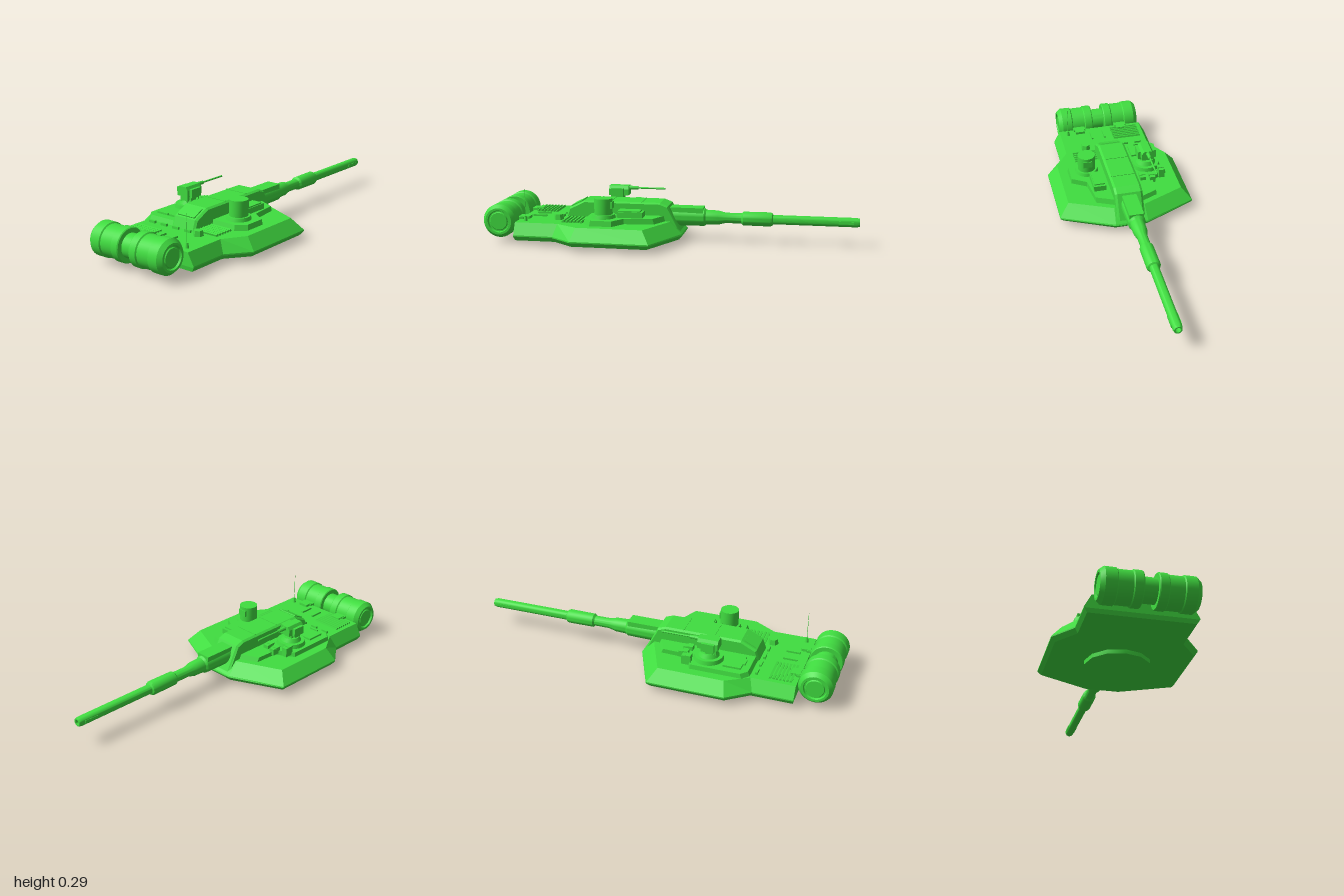
import * as THREE from 'three';
import { toCreasedNormals } from 'three/addons/utils/BufferGeometryUtils.js';

const paint = new THREE.MeshStandardMaterial({ color: 0x40dd40 });

export function createModel() {
  const root = new THREE.Group();
  root.name = 'turret';

  const add = (name, geo, x = 0, y = 0, z = 0, parent = root) => {
    const m = new THREE.Mesh(geo, paint);
    m.name = name;
    m.position.set(x, y, z);
    parent.add(m);
    return m;
  };
  const box = (name, w, h, d, x, y, z, parent) => add(name, new THREE.BoxGeometry(w, h, d), x, y, z, parent);
  const cyl = (name, r0, r1, h, x, y, z, n = 24, parent) =>
    add(name, toCreasedNormals(new THREE.CylinderGeometry(r1, r0, h, n), 0.6), x, y, z, parent);
  const lathe = (pts, n = 32) =>
    toCreasedNormals(new THREE.LatheGeometry(pts.map(p => new THREE.Vector2(p[0], p[1])), n), 0.5);

  // Joins horizontal outlines [x, z] at rising heights into a closed faceted solid
  const loft = (rings) => {
    const area = THREE.ShapeUtils.area(rings[0].pts.map(p => new THREE.Vector2(...p)));
    const loops = rings.map(r => (area < 0 ? [...r.pts].reverse() : r.pts).map(p => [p[0], r.y, p[1]]));
    const pos = [];
    const tri = (...c) => c.forEach(v => pos.push(...v));
    const n = loops[0].length;
    for (let k = 0; k + 1 < loops.length; k++) {
      for (let i = 0; i < n; i++) {
        const j = (i + 1) % n, lo = loops[k], up = loops[k + 1];
        tri(lo[i], up[j], lo[j]);
        tri(lo[i], up[i], up[j]);
      }
    }
    const cap = (loop, top) => THREE.ShapeUtils
      .triangulateShape(loop.map(v => new THREE.Vector2(v[0], v[2])), [])
      .forEach(([a, b, c]) => top ? tri(loop[a], loop[c], loop[b]) : tri(loop[a], loop[b], loop[c]));
    cap(loops[0], false);
    cap(loops[loops.length - 1], true);
    const g = new THREE.BufferGeometry();
    g.setAttribute('position', new THREE.Float32BufferAttribute(pos, 3));
    g.computeVertexNormals();
    return g;
  };
  const mirrored = half => [...half, ...half.map(([x, z]) => [-x, z]).reverse()];

  // Armoured body: undercut, widest belt, sloping flanks
  add('body', loft([
    { y: 0.022, pts: mirrored([[0.09, -0.05], [0.355, 0.075], [0.355, 0.475], [0.265, 0.59], [0.265, 0.81]]) },
    { y: 0.045, pts: mirrored([[0.09, -0.068], [0.374, 0.06], [0.374, 0.48], [0.28, 0.60], [0.28, 0.815]]) },
    { y: 0.052, pts: mirrored([[0.09, -0.064], [0.374, 0.062], [0.374, 0.48], [0.28, 0.60], [0.28, 0.815]]) },
    { y: 0.116, pts: mirrored([[0.085, 0.0], [0.32, 0.105], [0.32, 0.46], [0.245, 0.58], [0.245, 0.815]]) },
  ]));
  cyl('turretRing', 0.173, 0.173, 0.035, 0, 0.0175, 0.30, 12);

  // Raised roof plates either side of the spine
  const plate = (name, pts, y0, y1, s = 0.95) => {
    const cx = pts.reduce((a, p) => a + p[0], 0) / pts.length;
    const cz = pts.reduce((a, p) => a + p[1], 0) / pts.length;
    const inner = pts.map(([x, z]) => [cx + (x - cx) * s, cz + (z - cz) * s]);
    add(name, loft([{ y: y0, pts }, { y: y1, pts: inner }]));
  };
  plate('rightRoofPlate', [[-0.06, 0.02], [-0.17, 0.07], [-0.175, 0.2], [-0.272, 0.26], [-0.272, 0.54], [-0.235, 0.575], [-0.06, 0.575]], 0.112, 0.14);
  plate('leftRoofPlate', [[0.06, 0.02], [0.17, 0.07], [0.19, 0.23], [0.272, 0.28], [0.272, 0.40], [0.22, 0.445], [0.06, 0.445]], 0.112, 0.145);

  // Central spine with sloping nose and stepped tail
  const side = new THREE.Shape([[0.575, 0.11], [0.555, 0.165], [0.475, 0.205], [0.06, 0.205], [0.02, 0.19], [-0.055, 0.045], [0.1, 0.045]]
    .map(p => new THREE.Vector2(-p[0], p[1])));
  const spine = new THREE.ExtrudeGeometry(side, {
    depth: 0.13, bevelSize: 0.008, bevelThickness: 0.012, bevelSegments: 1,
  });
  spine.translate(0, 0, -0.065).rotateY(Math.PI / 2);
  add('spine', spine);
  box('spineTailPanel', 0.11, 0.006, 0.07, 0, 0.193, 0.523).rotation.x = 0.46;
  for (const z of [0.16, 0.33]) box('spineSeam', 0.134, 0.003, 0.006, 0, 0.214, z);

  // Gun with mantlet, sleeves and hollow muzzle, pointing to -z
  const gun = lathe([
    [0, -0.1], [0.055, -0.1], [0.05, 0.02], [0.048, 0.175], [0.04, 0.185], [0.038, 0.25], [0.028, 0.29],
    [0.028, 0.375], [0.037, 0.385], [0.038, 0.53], [0.034, 0.54], [0.025, 0.545], [0.025, 0.985],
    [0.021, 1.0], [0.014, 1.0], [0.014, 0.9], [0, 0.9],
  ]);
  gun.rotateX(-Math.PI / 2);
  add('gunBarrel', gun, 0, 0.131, 0);
  box('mantletCover', 0.08, 0.035, 0.2, 0, 0.168, -0.07);
  for (const s of [-1, 1]) box('muzzleSlot', 0.004, 0.014, 0.08, s * 0.0245, 0.131, -0.93);

  // Twin fuel drums on one axle across the rear
  const half = [[0.063, 0.035], [0.086, 0.035], [0.09, 0.04], [0.09, 0.08], [0.084, 0.085], [0.084, 0.157], [0.09, 0.162],
    [0.09, 0.218], [0.072, 0.24], [0.06, 0.24], [0.056, 0.23], [0.05, 0.23], [0.046, 0.236], [0, 0.236]];
  const drum = lathe([...half.map(([r, x]) => [r, -x]).reverse(), ...half], 36);
  drum.rotateZ(Math.PI / 2);
  add('fuelDrums', drum, 0, 0.115, 0.91);
  for (const s of [-1, 1]) {
    box('drumBracket', 0.07, 0.045, 0.06, s * 0.125, 0.105, 0.825);
    box('drumBracketFoot', 0.055, 0.02, 0.05, s * 0.125, 0.12, 0.79);
  }

  // Commander's sight on the left
  cyl('sightBase', 0.066, 0.06, 0.022, 0.17, 0.153, 0.345);
  cyl('sightDrum', 0.049, 0.049, 0.10, 0.17, 0.2, 0.345);
  box('sightWindow', 0.05, 0.035, 0.01, 0.17, 0.215, 0.298);
  box('gunnerSight', 0.07, 0.04, 0.14, 0.133, 0.155, 0.205);
  box('gunnerSightLid', 0.06, 0.008, 0.12, 0.133, 0.178, 0.21);

  // Hatch ring and remote machine gun on the right
  const mount = new THREE.Group();
  mount.name = 'machineGunMount';
  mount.position.set(-0.172, 0, 0.335);
  root.add(mount);
  cyl('hatchRing', 0.08, 0.075, 0.025, 0, 0.15, 0, 28, mount);
  cyl('hatchLid', 0.056, 0.045, 0.022, 0, 0.173, 0, 24, mount);
  box('pedestal', 0.05, 0.04, 0.07, 0, 0.195, 0.01, mount);
  const receiver = new THREE.ExtrudeGeometry(new THREE.Shape([[-0.034, 0], [0.034, 0], [0.034, 0.035], [0.022, 0.053], [-0.022, 0.053], [-0.034, 0.035]]
    .map(p => new THREE.Vector2(...p))), { depth: 0.11, bevelEnabled: false });
  add('receiver', receiver, 0, 0.208, -0.055, mount).rotation.x = 0;
  for (const s of [-1, 1]) {
    box('ammoBox', 0.016, 0.046, 0.07, s * 0.044, 0.226, 0.005, mount);
    box('mountArm', 0.012, 0.05, 0.04, s * 0.03, 0.19, 0.01, mount);
  }
  const tube = cyl('machineGunBarrel', 0.005, 0.005, 0.22, 0, 0.248, -0.15, 10, mount);
  tube.rotation.x = Math.PI / 2;
  const jacket = cyl('barrelJacket', 0.012, 0.009, 0.06, 0, 0.248, -0.075, 10, mount);
  jacket.rotation.x = -Math.PI / 2;

  // Periscopes and roof boxes
  for (const [x, z, h] of [[-0.236, 0.235, 0.05], [-0.175, 0.2, 0.035], [-0.122, 0.21, 0.035]]) {
    box('periscope', 0.032, h, 0.05, x, 0.135 + h / 2 - 0.01, z);
    box('periscopeHood', 0.036, 0.008, 0.03, x, 0.135 + h - 0.01, z + 0.01);
  }
  box('rearHatch', 0.12, 0.012, 0.095, -0.17, 0.144, 0.475);
  box('rearHatchHandle', 0.05, 0.008, 0.012, -0.17, 0.152, 0.53);

  // Cooling grilles
  const grille = (name, w, x, z0, step, n, y) => {
    for (let i = 0; i < n; i++) box(name, w, 0.012, step * 0.6, x, y, z0 + i * step).rotation.x = 0.25;
  };
  grille('sideGrille', 0.13, 0.145, 0.46, 0.02, 6, 0.121);
  grille('deckGrille', 0.16, -0.14, 0.675, 0.018, 7, 0.119);

  // Rear deck details
  for (const x of [-0.01, 0.065]) box('deckRib', 0.01, 0.012, 0.075, x, 0.12, 0.73);
  for (const x of [-0.19, -0.11, -0.03, 0.05]) box('deckHinge', 0.04, 0.016, 0.012, x, 0.121, 0.6);
  cyl('ventCap', 0.028, 0.024, 0.03, 0.125, 0.13, 0.605, 6);
  cyl('antennaBase', 0.011, 0.006, 0.03, 0.2, 0.128, 0.77, 12);
  cyl('antenna', 0.0015, 0.001, 0.16, 0.2, 0.21, 0.77, 6);

  return root;
}
